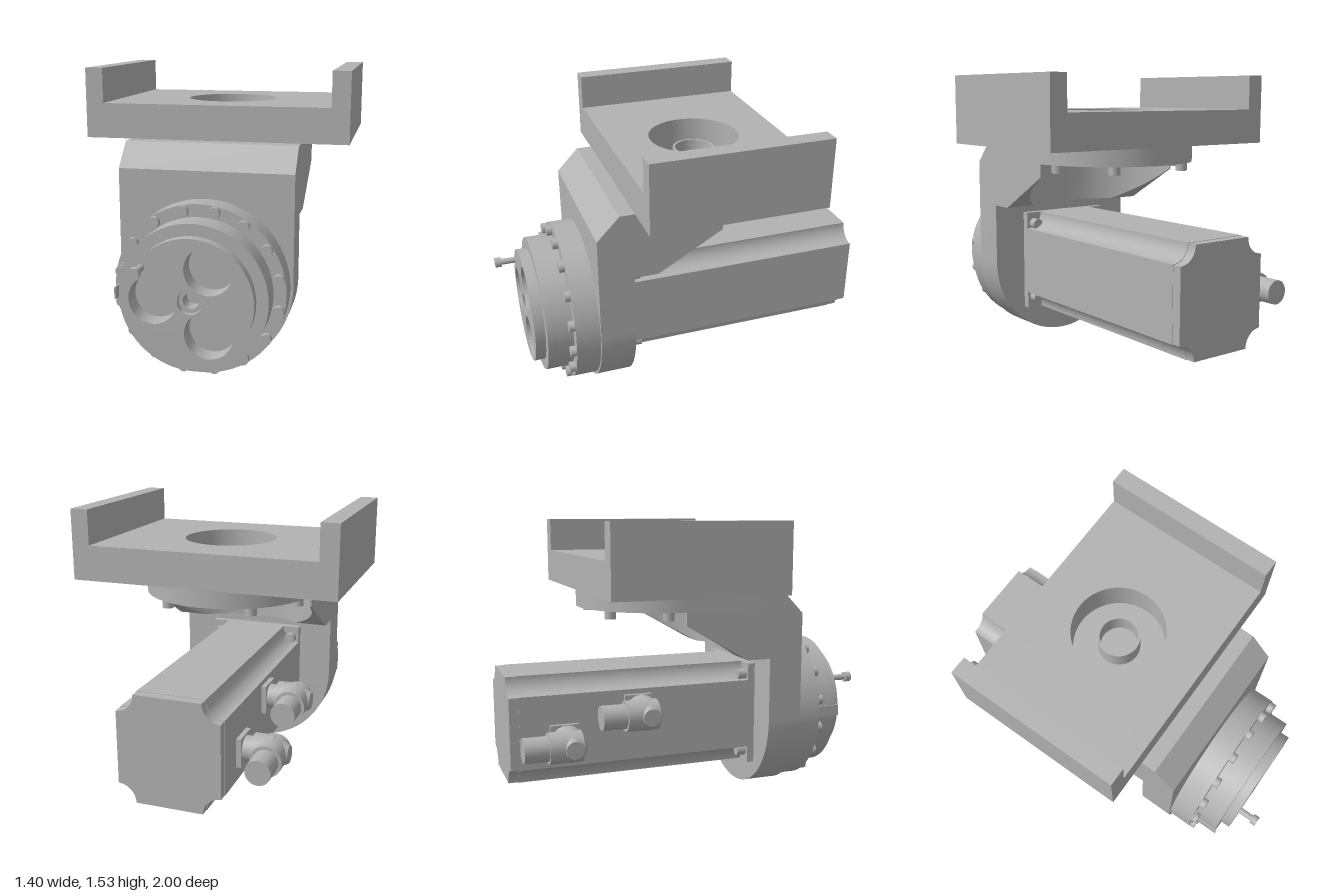
import * as THREE from 'three';
import { toCreasedNormals } from 'three/addons/utils/BufferGeometryUtils.js';

const AXIS_Y = 0.46;   // height of the drive axis
const PIVOT_Z = -0.11; // vertical axis of the top flange
const PI = Math.PI;

export function createModel() {
  const model = new THREE.Group();
  const grey = new THREE.MeshStandardMaterial({ color: 0xb2b2b2 });
  grey.name = 'machined grey';

  function add(name, geometry, parent = model) {
    const mesh = new THREE.Mesh(geometry, grey);
    mesh.name = name;
    parent.add(mesh);
    return mesh;
  }
  const box = (name, x0, x1, y0, y1, z0, z1) =>
    add(name, new THREE.BoxGeometry(x1 - x0, y1 - y0, z1 - z0)
      .translate((x0 + x1) / 2, (y0 + y1) / 2, (z0 + z1) / 2));
  // Cylinder along z
  const rod = (name, x, y, z0, z1, r, seg = 24, r2 = r) =>
    add(name, new THREE.CylinderGeometry(r2, r, z1 - z0, seg).rotateX(PI / 2).translate(x, y, (z0 + z1) / 2));
  const circle = (x, y, r) => new THREE.Path().absarc(x, y, r, 0, PI * 2, true);
  const extrude = (shape, depth) => toCreasedNormals(
    new THREE.ExtrudeGeometry(shape, { depth, bevelEnabled: false, curveSegments: 32 }), 0.5);
  // Extrusions along z, along y (shape y = -z) and along x (shape x = -z)
  const alongZ = (name, shape, z0, z1) => add(name, extrude(shape, z1 - z0).translate(0, 0, z0));
  const alongY = (name, shape, y0, y1) => add(name, extrude(shape, y1 - y0).rotateX(-PI / 2).translate(0, y0, 0));
  const polygon = (pts) => new THREE.Shape(pts.map(p => new THREE.Vector2(...p)));

  // Tray: floor with a round opening, two raised walls, and a tube in the opening
  const floor = polygon([[-0.7, -0.36], [0.7, -0.36], [0.7, 0.58], [-0.7, 0.58]]);
  floor.holes.push(circle(0, -PIVOT_Z, 0.245));
  alongY('trayFloor', floor, 1.165, 1.35);
  box('trayWallLeft', 0.605, 0.7, 1.35, 1.535, -0.58, 0.36);
  box('trayWallRight', -0.7, -0.605, 1.35, 1.535, -0.58, 0.36);
  const collar = new THREE.Shape().absarc(0, -PIVOT_Z, 0.112, 0, PI * 2);
  collar.holes.push(circle(0, -PIVOT_Z, 0.1));
  alongY('centringCollar', collar, 1.165, 1.28);

  // Bracket: top flange with rounded back
  const flange = new THREE.Shape();
  flange.moveTo(-0.455, -0.44).lineTo(0.455, -0.44).lineTo(0.455, -PIVOT_Z);
  flange.absarc(0, -PIVOT_Z, 0.455, 0, PI, false);
  flange.lineTo(-0.455, -0.44);
  alongY('topFlange', flange, 1.07, 1.165);

  // Bracket: upright plate with round bottom, and chamfered shoulder
  const plate = new THREE.Shape();
  plate.moveTo(-0.455, 1.04).lineTo(-0.455, AXIS_Y);
  plate.absarc(0, AXIS_Y, 0.455, PI, PI * 2, false);
  plate.lineTo(0.455, 1.04);
  alongZ('uprightPlate', plate, 0.37, 0.56);
  const shoulder = polygon([[-0.56, 1.04], [-0.37, 1.04], [-0.37, 1.165], [-0.44, 1.165]]);
  add('shoulder', extrude(shoulder, 0.91).rotateY(PI / 2).translate(-0.455, 0, 0));

  // Bracket: gussets around a round pocket, lofted from cross-sections along z
  function gusset(side) {
    const R = 0.445, sections = [];
    const zs = [0.37, 0.336];
    for (let i = 0; i <= 6; i++) zs.push(0.335 - i * 0.095 / 6);
    for (let i = 1; i <= 12; i++) zs.push(0.24 - i * 0.35 / 12);
    for (const z of zs) {
      const inner = Math.sqrt(Math.max(0, R * R - (z - PIVOT_Z) ** 2));
      const low = z >= 0.24 ? 0.8 : 0.8 + (0.24 - z) * 0.2 / 0.35;
      const ring = [[inner, low], [0.455, low], [0.455, 1.07], [inner, 1.07]]
        .map(([x, y]) => [x * side, y, z]);
      sections.push(side > 0 ? ring : ring.reverse());
    }
    const pos = [];
    const quad = (a, b, c, d) => pos.push(...a, ...b, ...c, ...a, ...c, ...d);
    for (let i = 0; i + 1 < sections.length; i++) {
      const s = sections[i], t = sections[i + 1];
      for (let k = 0; k < 4; k++) {
        const n = (k + 1) % 4;
        quad(s[k], t[k], t[n], s[n]);
      }
    }
    const first = sections[0], last = sections[sections.length - 1];
    quad(first[0], first[1], first[2], first[3]);
    quad(last[3], last[2], last[1], last[0]);
    const g = new THREE.BufferGeometry();
    g.setAttribute('position', new THREE.Float32BufferAttribute(pos, 3));
    g.computeVertexNormals();
    return toCreasedNormals(g, 0.4);
  }
  add('gussetLeft', gusset(1));
  add('gussetRight', gusset(-1));

  // Bolts under the top flange
  for (const deg of [11.25, 101.25, 146.25]) {
    for (const s of [-1, 1]) {
      const a = deg * PI / 180;
      add('flangeBolt', new THREE.CylinderGeometry(0.03, 0.03, 0.045, 20)
        .translate(s * 0.41 * Math.sin(a), 1.048, PIVOT_Z + 0.41 * Math.cos(a)));
    }
  }

  // Gearbox: stepped drum with a ring of sixteen bolts
  rod('gearboxBase', 0, AXIS_Y, 0.56, 0.69, 0.44, 64);
  rod('gearboxDrum', 0, AXIS_Y, 0.69, 0.78, 0.375, 64);
  const rim = new THREE.Shape().absarc(0, AXIS_Y, 0.375, 0, PI * 2);
  rim.holes.push(circle(0, AXIS_Y, 0.312));
  alongZ('gearboxRim', rim, 0.78, 0.83);
  for (let i = 0; i < 16; i++) {
    const a = (i + 0.5) * PI / 8;
    rod('gearboxBolt', 0.41 * Math.cos(a), AXIS_Y + 0.41 * Math.sin(a), 0.69, 0.72, 0.029, 20);
  }

  // Output face with three round pockets and a central bore
  const face = new THREE.Shape().absarc(0, AXIS_Y, 0.315, 0, PI * 2);
  for (const deg of [60, 180, 300]) {
    const a = deg * PI / 180;
    face.holes.push(circle(0.185 * Math.cos(a), AXIS_Y + 0.185 * Math.sin(a), 0.121));
  }
  face.holes.push(circle(0, AXIS_Y, 0.062));
  alongZ('outputFace', face, 0.78, 0.885);
  const hub = new THREE.Shape().absarc(0, AXIS_Y, 0.06, 0, PI * 2);
  hub.holes.push(circle(0, AXIS_Y, 0.04));
  alongZ('hubRing', hub, 0.78, 0.86);

  // Pin screw on the output face and a small marker tab on the rim
  rod('pinShaft', -0.24, 0.62, 0.88, 0.97, 0.017, 16);
  rod('pinHead', -0.24, 0.62, 0.965, 1.0, 0.028, 20);
  box('markerFoot', -0.42, -0.37, 0.35, 0.58, 0.69, 0.7);
  box('markerTab', -0.395, -0.387, 0.435, 0.495, 0.69, 0.84);

  // Motor: square body with scooped corners
  function motorShape(w, h, r) {
    const s = new THREE.Shape();
    s.moveTo(w - r, -h);
    s.absarc(w, -h, r, PI, PI / 2, true);
    s.absarc(w, h, r, PI * 1.5, PI, true);
    s.absarc(-w, h, r, 0, -PI / 2, true);
    s.absarc(-w, -h, r, PI / 2, 0, true);
    return s;
  }
  const body = alongZ('motorBody', motorShape(0.27, 0.285, 0.093), -0.95, 0.33);
  const cap = alongZ('motorEndCap', motorShape(0.268, 0.283, 0.093), -1.0, -0.95);
  body.position.y = cap.position.y = AXIS_Y;
  box('motorFlange', -0.27, 0.27, 0.175, 0.745, 0.33, 0.37);
  for (const sx of [-1, 1]) {
    for (const sy of [-1, 1]) rod('motorBolt', sx * 0.225, AXIS_Y + sy * 0.22, 0.28, 0.33, 0.03, 20);
  }

  // Two angled cable connectors on the motor's right side
  function connector(name, y, z) {
    const group = new THREE.Group();
    group.name = name;
    group.position.set(0, y, z);
    model.add(group);
    const side = (part, x0, x1, r) => add(part, new THREE.CylinderGeometry(r, r, x1 - x0, 24)
      .rotateZ(PI / 2).translate((x0 + x1) / 2, 0, 0), group);
    add('connectorBase', new THREE.BoxGeometry(0.03, 0.15, 0.15).translate(-0.28, 0, 0), group);
    side('connectorNeck', -0.35, -0.26, 0.065);
    side('connectorElbow', -0.44, -0.34, 0.085);
    add('connectorHeel', new THREE.CylinderGeometry(0.045, 0.085, 0.08, 24)
      .rotateZ(PI / 2).translate(-0.48, 0, 0.0), group);
    const back = (part, r, z0, z1) => add(part, new THREE.CylinderGeometry(r, r, z0 - z1, 24)
      .rotateX(PI / 2).translate(-0.435, 0, (z0 + z1) / 2), group);
    back('connectorSleeve', 0.08, 0.05, -0.12);
    back('connectorTip', 0.064, -0.1, -0.245);
  }
  connector('frontConnector', 0.55, -0.32);
  connector('rearConnector', 0.42, -0.72);

  return model;
}
